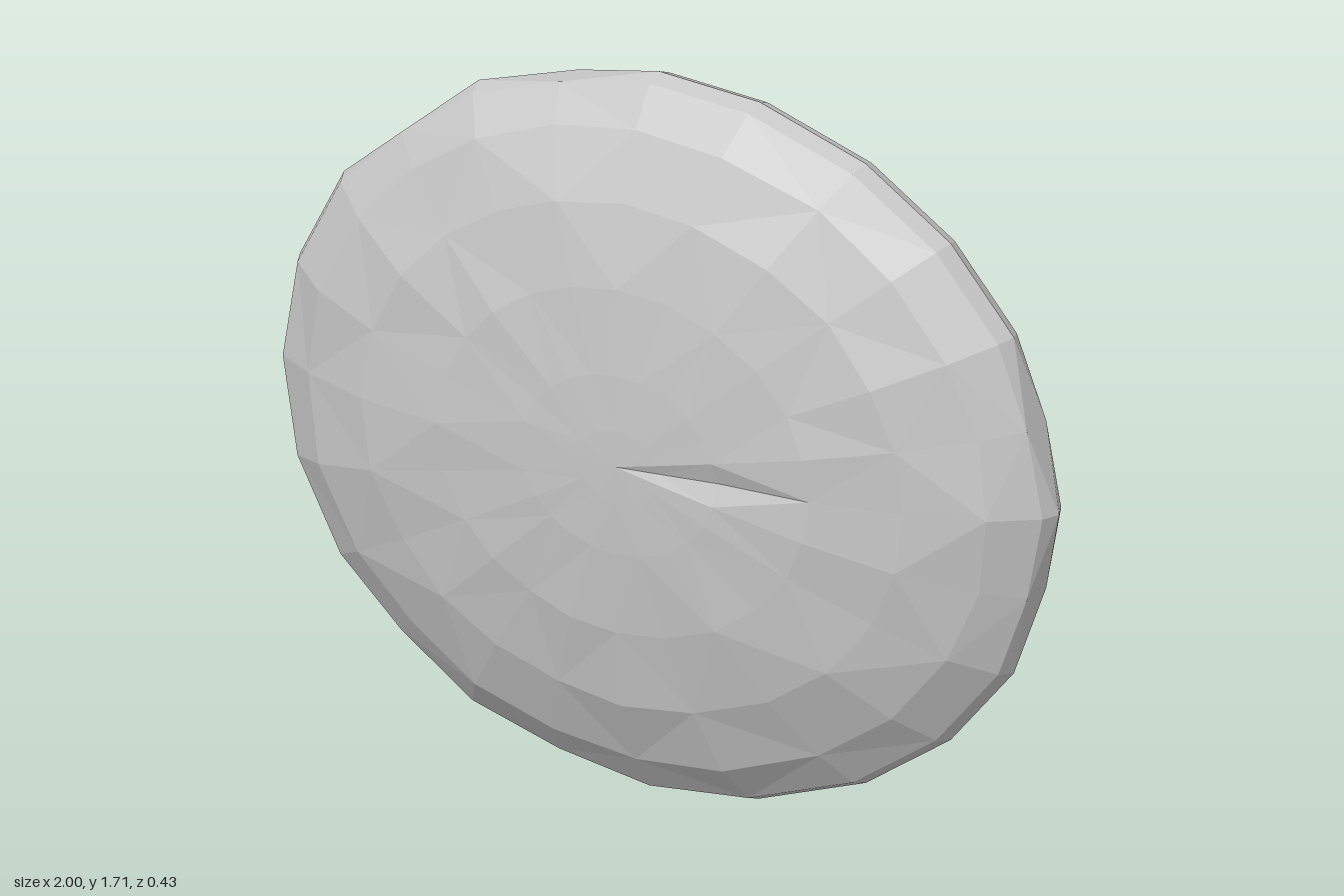
import * as THREE from 'three';

export function createModel() {
  const group = new THREE.Group();
  group.name = 'pebble';
  const stone = new THREE.MeshStandardMaterial({ color: 0xc7c7c7, flatShading: true });
  stone.name = 'stone grey';

  // Uneven facet angles, mirrored top to bottom
  const half = [0, 14, 28, 44, 60, 77, 92, 106, 120, 134, 148, 164, 180];
  const angles = [...half, ...half.slice(1, -1).reverse().map((a) => 360 - a)];
  const chipped = [1, 7, 9, 15, 17, 23]; // columns worn flat between neighbours
  const n = angles.length;
  const midY = 0.858, height = 0.858;

  // Rings from the flat back to the domed front: [radius, z, unevenness]
  const rings = [
    [0.7, -0.213, 0], [0.875, -0.15, 0.006], [0.98, -0.08, 0], [1, -0.037, 0], [0.982, 0.005, 0],
    [0.88, 0.075, 0.008], [0.7, 0.142, 0.007], [0.48, 0.183, 0.004], [0.25, 0.204, 0.001], [0.1, 0.211, 0],
  ];
  const positions = [];
  rings.forEach(([r, z, rough], k) => {
    angles.forEach((deg, i) => {
      const a = THREE.MathUtils.degToRad(deg);
      const radius = chipped.includes(i) ? Math.min(r, 0.97) : r;
      let dz = rough * Math.sin(i * 2.3 + k * 1.7);
      // One short groove running to the left of the centre
      if (i === 0 && k === 8) dz = -0.02;
      if (i === 0 && k === 9) dz = -0.009;
      positions.push(radius * Math.cos(a), midY + height * radius * Math.sin(a), z + dz);
    });
  });
  const back = rings.length * n, front = back + 1;
  positions.push(0, midY, -0.213, 0, midY, 0.213);

  // Skin with alternating diagonals, closed by a fan at each end
  const index = [];
  for (let k = 0; k < rings.length - 1; k++) {
    for (let i = 0; i < n; i++) {
      const j = (i + 1) % n;
      const a = k * n + i, b = k * n + j, c = a + n, d = b + n;
      if ((i + k) % 2) index.push(a, b, d, a, d, c);
      else index.push(a, b, c, b, d, c);
    }
  }
  const last = (rings.length - 1) * n;
  for (let i = 0; i < n; i++) {
    const j = (i + 1) % n;
    index.push(back, j, i, front, last + i, last + j);
  }

  const geometry = new THREE.BufferGeometry();
  geometry.setAttribute('position', new THREE.Float32BufferAttribute(positions, 3));
  geometry.setIndex(index);
  geometry.computeVertexNormals();
  const body = new THREE.Mesh(geometry, stone);
  body.name = 'stoneBody';
  group.add(body);
  return group;
}
